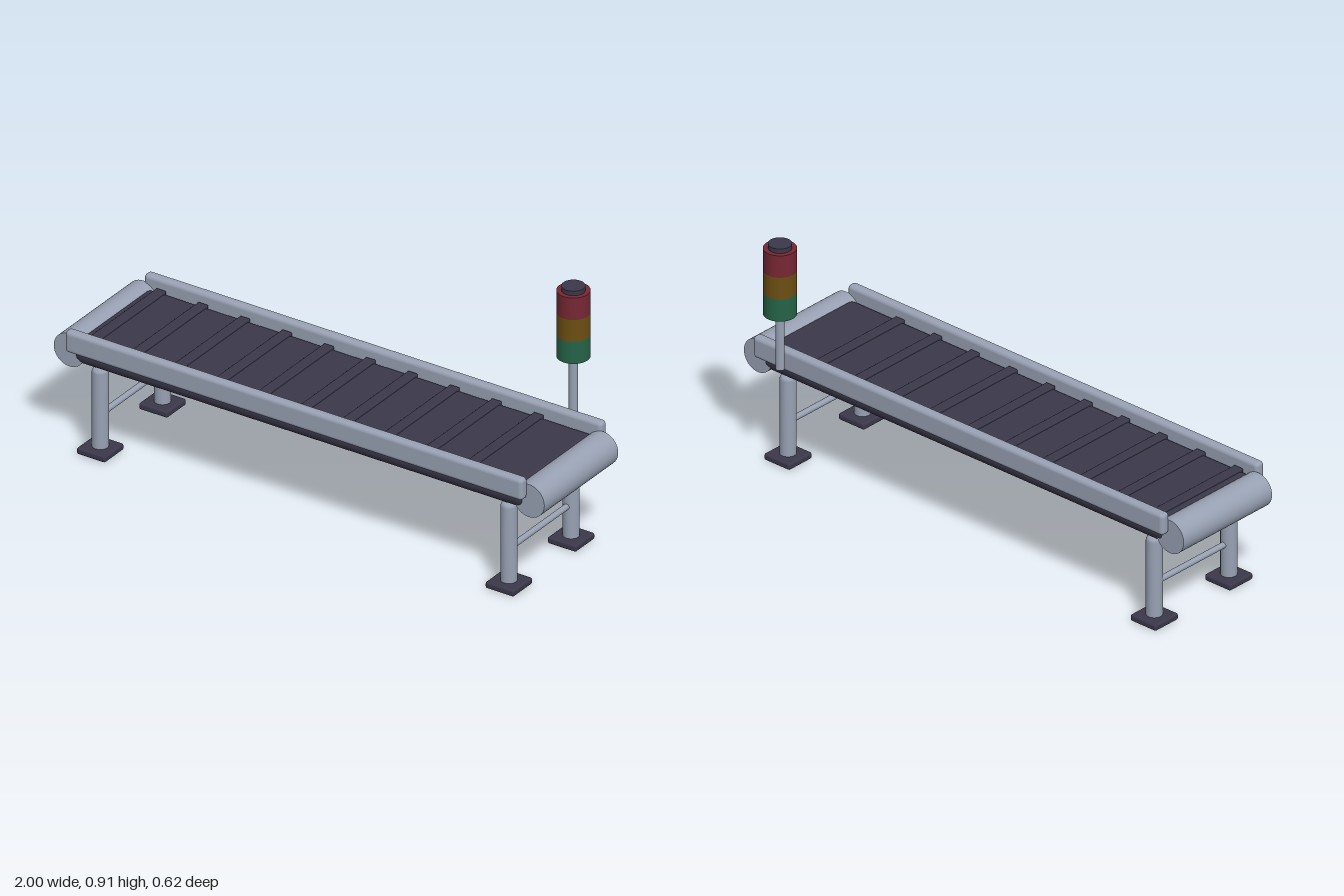
import * as THREE from 'three';
import { RoundedBoxGeometry } from 'three/addons/geometries/RoundedBoxGeometry.js';

const material = (name, color) => {
  const m = new THREE.MeshStandardMaterial({ color });
  m.name = name;
  return m;
};

export function createModel() {
  const steel = material('steel', 0x98a1b3);
  const rubber = material('dark rubber', 0x3a384a);
  const red = material('red lamp', 0x762733);
  const amber = material('amber lamp', 0x6c4e12);
  const green = material('green lamp', 0x256347);

  const model = new THREE.Group();
  model.name = 'conveyor';
  const midZ = 0.054; // centre line of the conveyor bed

  const add = (name, geometry, mat, x, y, z) => {
    const mesh = new THREE.Mesh(geometry, mat);
    mesh.name = name;
    mesh.position.set(x, y, z);
    model.add(mesh);
    return mesh;
  };
  const rod = (r, length, sides = 32) => new THREE.CylinderGeometry(r, r, length, sides);

  // Belt bed with raised slats
  add('belt', new RoundedBoxGeometry(1.85, 0.098, 0.459, 5, 0.04), rubber, 0, 0.379, midZ);
  const slat = new RoundedBoxGeometry(0.04, 0.02, 0.43, 2, 0.004);
  for (let i = 0; i < 10; i++) add('slat', slat, rubber, -0.855 + i * 0.171, 0.426, midZ);

  // Side rails
  const rail = new RoundedBoxGeometry(1.865, 0.083, 0.039, 4, 0.015);
  for (const s of [-1, 1]) add('sideRail', rail, steel, 0, 0.428, midZ + s * 0.239);

  // Leg profile with a softened top edge
  const leg = new THREE.LatheGeometry([
    [0, 0.015], [0.029, 0.015], [0.029, 0.015], [0.029, 0.312],
    [0.026, 0.321], [0.019, 0.327], [0, 0.329],
  ].map(([r, y]) => new THREE.Vector2(r, y)), 24);
  const foot = new RoundedBoxGeometry(0.117, 0.025, 0.117, 3, 0.008);

  // End rollers, leg frames and crossbars
  for (const s of [-1, 1]) {
    add('endRoller', rod(0.063, 0.446, 40), steel, s * 0.937, 0.377, 0.052).rotation.x = Math.PI / 2;
    const x = s * 0.833;
    for (const side of [-1, 1]) {
      const z = midZ + side * 0.188;
      add('leg', leg, steel, x, 0, z);
      add('foot', foot, rubber, x, 0.0125, z);
    }
    add('crossbar', rod(0.011, 0.376, 16), steel, x, 0.146, midZ).rotation.x = Math.PI / 2;
  }

  // Signal tower
  const tx = 0.762, tz = -0.253;
  add('towerPole', rod(0.016, 0.215, 20), steel, tx, 0.5345, tz);
  [['greenLamp', green], ['amberLamp', amber], ['redLamp', red]].forEach(([name, mat], i) => {
    add(name, rod(0.058, 0.0848), mat, tx, 0.6825 + i * 0.0848, tz);
  });
  add('towerCap', rod(0.041, 0.017), rubber, tx, 0.903, tz);

  return model;
}
